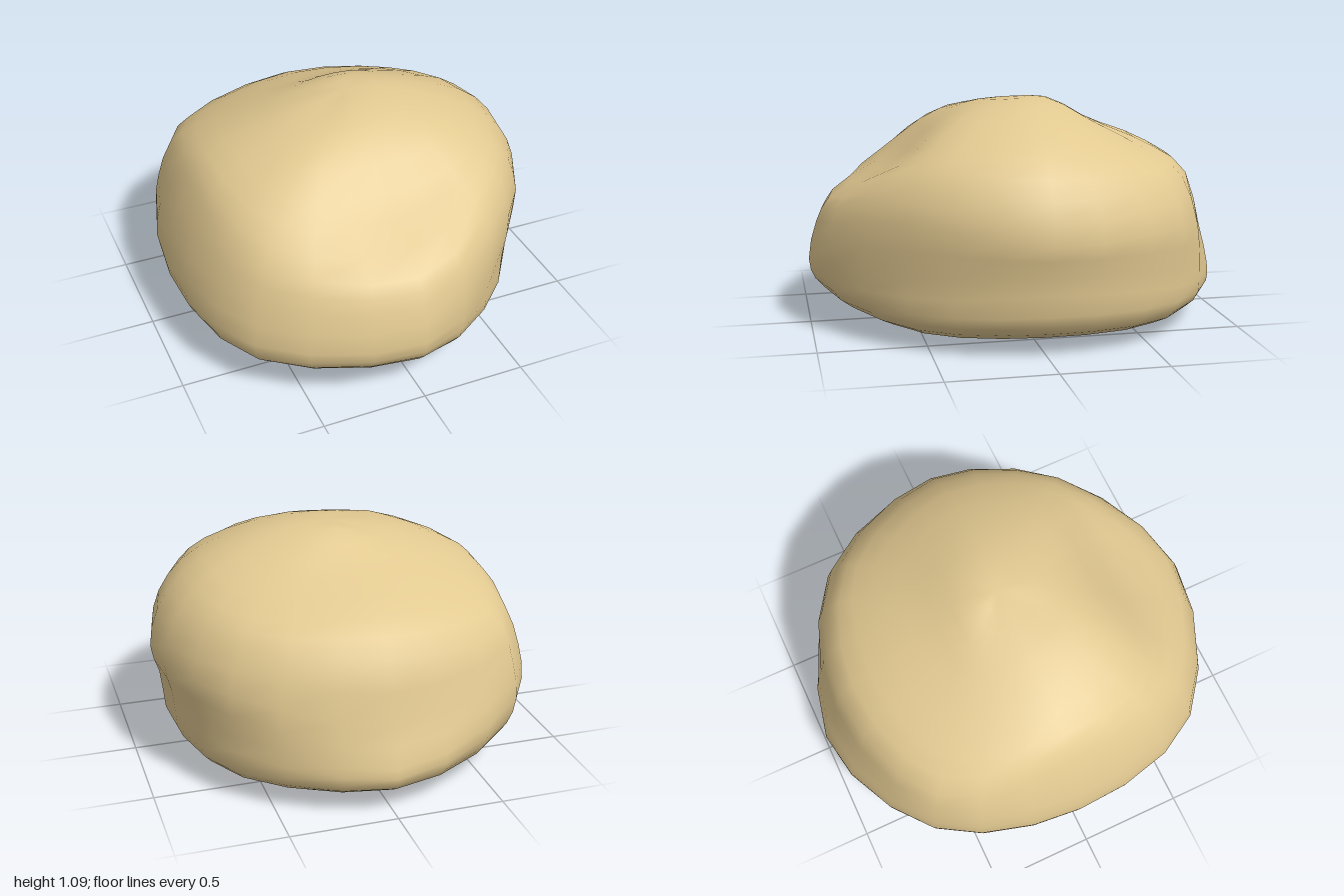
import * as THREE from 'three';

const SIDES = 24, ROWS = 22;

// Outline of the boulder, [radius, height] from the underside to near the top,
// in eight compass directions turning from the front (+z) towards +x.
const outlines = [
  [[0.55, 0.04], [0.81, 0.10], [0.96, 0.20], [1.00, 0.30], [0.96, 0.50], [0.89, 0.62], [0.60, 0.78], [0.38, 0.98], [0.18, 1.065]], // front
  [[0.50, 0.03], [0.76, 0.08], [0.83, 0.16], [0.84, 0.32], [0.86, 0.60], [0.80, 0.77], [0.70, 0.87], [0.47, 1.00], [0.20, 1.075]],
  [[0.50, 0.03], [0.75, 0.09], [0.83, 0.17], [0.86, 0.38], [0.90, 0.53], [0.85, 0.73], [0.70, 0.91], [0.44, 1.03], [0.20, 1.085]], // left
  [[0.55, 0.03], [0.83, 0.08], [0.91, 0.16], [0.92, 0.32], [0.935, 0.54], [0.84, 0.75], [0.72, 0.84], [0.43, 0.98], [0.20, 1.075]],
  [[0.60, 0.04], [0.87, 0.08], [0.98, 0.15], [0.99, 0.22], [0.92, 0.42], [0.84, 0.72], [0.64, 0.86], [0.36, 0.97], [0.17, 1.07]], // back
  [[0.55, 0.03], [0.82, 0.09], [0.92, 0.18], [0.975, 0.33], [0.95, 0.52], [0.88, 0.70], [0.70, 0.83], [0.42, 0.96], [0.19, 1.045]],
  [[0.50, 0.04], [0.72, 0.10], [0.86, 0.20], [0.90, 0.30], [0.87, 0.50], [0.75, 0.79], [0.64, 0.90], [0.36, 1.01], [0.19, 1.05]], // right
  [[0.55, 0.04], [0.79, 0.10], [0.96, 0.19], [1.00, 0.29], [0.95, 0.50], [0.87, 0.67], [0.71, 0.83], [0.44, 0.99], [0.19, 1.05]],
];

function boulderGeometry() {
  // Closed smooth loops join the same step of all eight outlines
  const loops = outlines[0].map((_, k) => new THREE.CatmullRomCurve3(
    outlines.map((outline, d) => {
      const [r, y] = outline[k];
      const angle = d * Math.PI / 4;
      return new THREE.Vector3(r * Math.sin(angle), y, r * Math.cos(angle));
    }), true, 'catmullrom', 0.5));

  const bottom = new THREE.Vector3(0, 0, 0);
  const top = new THREE.Vector3(0.03, 1.083, -0.02);
  const positions = [], index = [];

  // Smooth columns run from the underside to the top
  for (let i = 0; i < SIDES; i++) {
    const column = new THREE.CatmullRomCurve3(
      [bottom, ...loops.map(loop => loop.getPoint(i / SIDES)), top]);
    for (let j = 1; j < ROWS; j++) positions.push(...column.getPoint(j / ROWS).toArray());
  }
  positions.push(...bottom.toArray(), ...top.toArray());

  const perColumn = ROWS - 1;
  const bottomId = SIDES * perColumn, topId = bottomId + 1;
  for (let i = 0; i < SIDES; i++) {
    const a = i * perColumn, b = ((i + 1) % SIDES) * perColumn;
    for (let j = 0; j < perColumn - 1; j++) {
      index.push(a + j, b + j, b + j + 1, a + j, b + j + 1, a + j + 1);
    }
    index.push(bottomId, b, a);
    index.push(topId, a + perColumn - 1, b + perColumn - 1);
  }

  const geometry = new THREE.BufferGeometry();
  geometry.setAttribute('position', new THREE.Float32BufferAttribute(positions, 3));
  geometry.setIndex(index);
  geometry.computeVertexNormals();
  return geometry;
}

export function createModel() {
  const sandstone = new THREE.MeshStandardMaterial({ color: 0xe2c991 });
  sandstone.name = 'sandstone';

  const boulder = new THREE.Mesh(boulderGeometry(), sandstone);
  boulder.name = 'boulder';

  const model = new THREE.Group();
  model.name = 'rock';
  model.add(boulder);
  return model;
}
